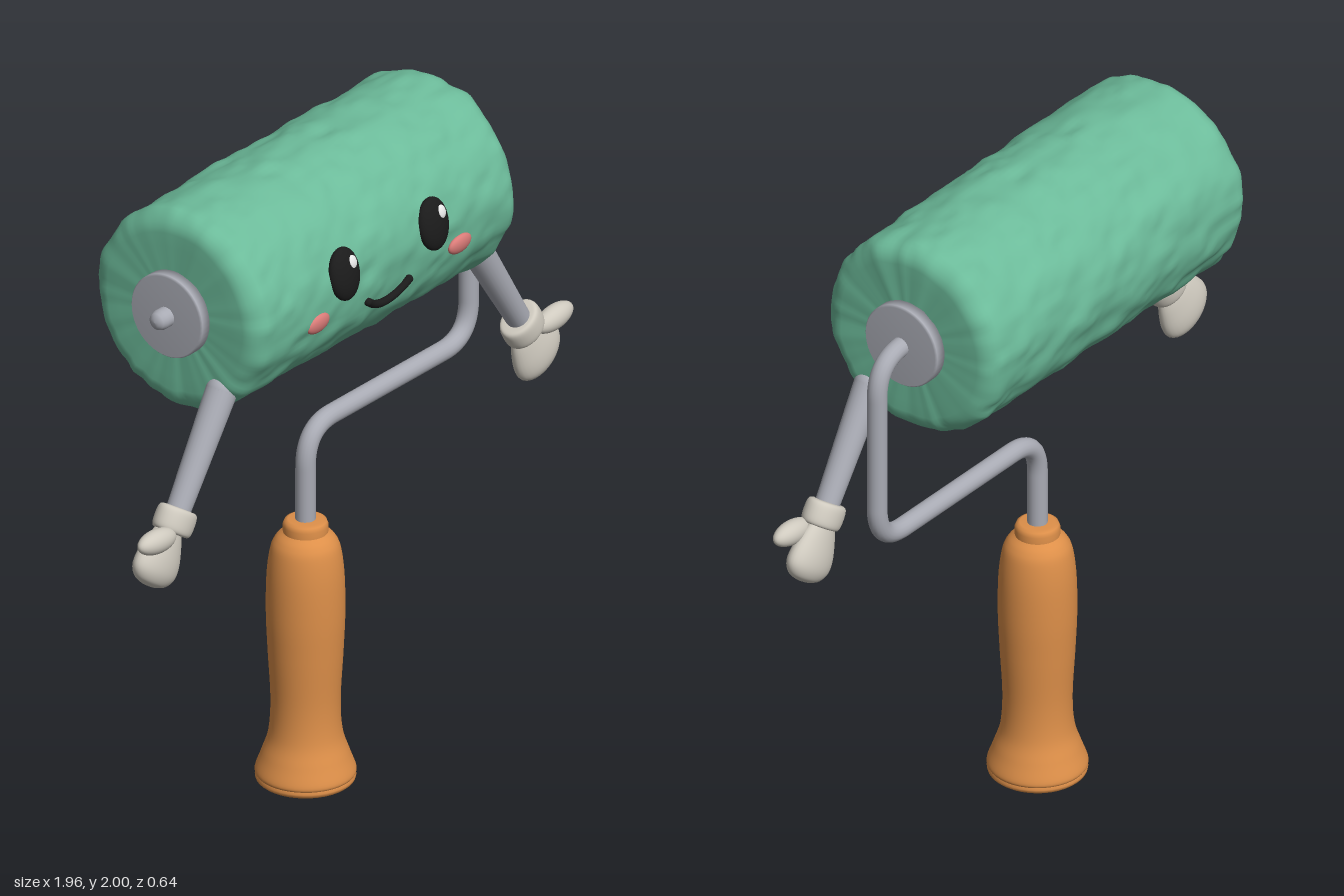
import * as THREE from 'three';
import { mergeVertices } from 'three/addons/utils/BufferGeometryUtils.js';

const AXIS_Y = 1.693, AXIS_Z = -0.015, RADIUS = 0.302;

function mat(name, color) {
  const m = new THREE.MeshStandardMaterial({ color });
  m.name = name;
  return m;
}

const lathe = (pts, seg = 40) =>
  new THREE.LatheGeometry(pts.map(([r, y]) => new THREE.Vector2(r, y)), seg);

// Smooth curve through a few profile points, turned around y
const smoothLathe = (pts, n = 40, seg = 40) =>
  new THREE.LatheGeometry(new THREE.SplineCurve(pts.map(([r, y]) => new THREE.Vector2(r, y)))
    .getPoints(n).map(p => p.setX(Math.max(p.x, 0))), seg);

// Seeded value noise, periodic in u
function hash(i, j) {
  const s = Math.sin(i * 127.1 + j * 311.7) * 43758.5453;
  return (s - Math.floor(s)) * 2 - 1;
}
function noise(u, v, period) {
  const i = Math.floor(u), j = Math.floor(v);
  const ease = t => t * t * (3 - 2 * t), a = ease(u - i), b = ease(v - j);
  const h = (p, q) => hash(((p % period) + period) % period, q);
  return THREE.MathUtils.lerp(
    THREE.MathUtils.lerp(h(i, j), h(i + 1, j), a),
    THREE.MathUtils.lerp(h(i, j + 1), h(i + 1, j + 1), a), b);
}

// Fluffy sleeve: rounded cylinder with a bumpy surface
function sleeveGeometry() {
  const pts = [], L = 0.597, c = 0.06;
  for (let i = 0; i <= 6; i++) pts.push([(RADIUS - c) * i / 6, -L]);
  for (let i = 1; i <= 6; i++) {
    const a = i / 6 * Math.PI / 2;
    pts.push([RADIUS - c + c * Math.sin(a), -L + c - c * Math.cos(a)]);
  }
  const half = pts.slice();
  for (let i = 1; i < 48; i++) pts.push([RADIUS, (L - c) * (i / 24 - 1)]);
  half.reverse().forEach(([r, y]) => pts.push([r, -y]));
  let geo = lathe(pts, 120);
  geo.deleteAttribute('uv');
  geo.deleteAttribute('normal');
  geo = mergeVertices(geo, 1e-4);
  const p = geo.attributes.position;
  for (let i = 0; i < p.count; i++) {
    const x = p.getX(i), y = p.getY(i), z = p.getZ(i), r = Math.hypot(x, z);
    const t = (Math.atan2(z, x) / (2 * Math.PI) + 0.5);
    const n = 0.006 * noise(t * 30, y * 11 + 40, 30) + 0.004 * noise(t * 54, y * 22 + 90, 54);
    const k = r > 0.01 ? 1 + n * Math.min(1, r / RADIUS) / r : 1;
    const end = Math.abs(y) > L - c ? Math.sign(y) * n * 0.6 * r / RADIUS : 0;
    p.setXYZ(i, x * k, y + end, z * k);
  }
  geo.rotateZ(Math.PI / 2);
  geo.computeVertexNormals();
  return geo;
}

// Bent rod with rounded corners
function rodGeometry(corners, bend, radius) {
  const path = new THREE.CurvePath();
  const v = corners.map(([x, y]) => new THREE.Vector3(x, y, 0));
  let from = v[0];
  for (let i = 1; i < v.length - 1; i++) {
    const a = v[i].clone().add(v[i - 1].clone().sub(v[i]).setLength(bend));
    const b = v[i].clone().add(v[i + 1].clone().sub(v[i]).setLength(bend));
    path.add(new THREE.LineCurve3(from, a));
    path.add(new THREE.QuadraticBezierCurve3(a, v[i], b));
    from = b;
  }
  path.add(new THREE.LineCurve3(from, v[v.length - 1]));
  return new THREE.TubeGeometry(path, 160, radius, 18);
}

export function createModel() {
  const model = new THREE.Group();
  model.name = 'paintRoller';
  const green = mat('sleeveGreen', 0x6cbb9a), metal = mat('metalGrey', 0xa9abb4);
  const wood = mat('handleOrange', 0xdd8f49), cream = mat('gloveCream', 0xcfcabf);
  const black = mat('faceBlack', 0x1b1b1b), pink = mat('cheekPink', 0xdb7c79);
  const white = mat('highlightWhite', 0xf2f2f2);

  const add = (name, geo, material, x = 0, y = 0, z = 0, parent = model) => {
    const m = new THREE.Mesh(geo, material);
    m.name = name;
    m.position.set(x, y, z);
    parent.add(m);
    return m;
  };

  add('sleeve', sleeveGeometry(), green, 0, AXIS_Y, AXIS_Z);

  // Handle
  const grip = smoothLathe([[0.14, 0.02], [0.143, 0.035], [0.125, 0.085], [0.105, 0.15], [0.099, 0.25],
    [0.107, 0.4], [0.112, 0.52], [0.11, 0.64], [0.1, 0.72], [0.085, 0.755], [0.064, 0.775]], 60);
  add('handleGrip', grip, wood, 0, 0, AXIS_Z);
  add('handleBase', lathe([[0, 0], [0.134, 0], [0.141, 0.006], [0.143, 0.014], [0.14, 0.022]]), wood, 0, 0, AXIS_Z);
  add('handleCollar', lathe([[0.064, 0.765], [0.065, 0.795], [0.06, 0.808], [0.05, 0.813], [0, 0.813]]), wood, 0, 0, AXIS_Z);

  // Wire frame and axle
  add('wireFrame', rodGeometry([[0.58, AXIS_Y], [0.742, AXIS_Y], [0.742, 1.095], [0, 1.095], [0, 0.78]], 0.12, 0.029),
    metal, 0, 0, AXIS_Z);
  const disc = lathe([[0, 0], [0.127, 0], [0.127, 0.044], [0.122, 0.05], [0, 0.05]], 48);
  for (const s of [1, -1])
    add('endCap', disc, metal, s * 0.585, AXIS_Y, AXIS_Z).rotation.z = -s * Math.PI / 2;
  add('axleEnd', lathe([[0.03, 0], [0.03, 0.058], [0.025, 0.072], [0.014, 0.08], [0, 0.082]], 24),
    metal, -0.605, AXIS_Y, AXIS_Z).rotation.z = Math.PI / 2;

  // Face: flattened ellipsoids lying on the sleeve
  const surfaceZ = y => AXIS_Z + Math.sqrt(RADIUS ** 2 - (y - AXIS_Y) ** 2);
  const ball = new THREE.SphereGeometry(1, 32, 20);
  const onSleeve = (name, material, x, y, rx, ry, rz, lift = 0) => {
    const m = add(name, ball, material, x, y, surfaceZ(y) + lift);
    m.scale.set(rx, ry, rz);
    m.rotation.x = -Math.asin((y - AXIS_Y) / RADIUS);
  };
  for (const s of [1, -1]) {
    onSleeve('eye', black, s * 0.202, 1.75, 0.06, 0.079, 0.03);
    onSleeve('eyeHighlight', white, s * 0.202 + 0.017, 1.786, 0.017, 0.02, 0.008, 0.026);
    onSleeve('cheek', pink, s * 0.322, 1.641, 0.049, 0.03, 0.016);
  }
  const smile = [];
  for (let i = -4; i <= 4; i++) {
    const y = 1.583 + 0.036 * (i / 4) ** 2;
    smile.push(new THREE.Vector3(i / 4 * 0.093, y, surfaceZ(y) + 0.004));
  }
  add('mouth', new THREE.TubeGeometry(new THREE.CatmullRomCurve3(smile), 40, 0.012, 12), black);
  for (const p of [smile[0], smile[8]])
    add('mouthEnd', ball, black, p.x, p.y, p.z).scale.setScalar(0.012);

  // Arms with mittens; each arm group points its y axis from shoulder to hand
  const palm = smoothLathe([[0.05, 0], [0.072, 0.04], [0.092, 0.095], [0.092, 0.135],
    [0.068, 0.163], [0.03, 0.175], [0, 0.177]], 30, 32);
  const cuff = smoothLathe([[0.045, -0.037], [0.062, -0.034], [0.069, -0.018], [0.069, 0.018],
    [0.062, 0.034], [0.045, 0.037]], 24, 32);
  const wristLid = new THREE.CircleGeometry(0.047, 32).rotateX(Math.PI / 2);
  const sleeveArm = new THREE.CylinderGeometry(0.035, 0.046, 0.39, 24);
  for (const s of [1, -1]) {
    const arm = new THREE.Group();
    arm.name = s > 0 ? 'leftArm' : 'rightArm';
    arm.position.set(s * 0.575, 1.487, 0.138);
    arm.rotation.z = Math.atan2(-s * 0.55, -0.835);
    model.add(arm);
    add('armRod', sleeveArm, metal, 0, 0.195, 0, arm);
    add('shoulder', ball, metal, 0, 0, 0, arm).scale.setScalar(0.046);
    add('cuff', cuff, cream, 0, 0.39, 0, arm).scale.z = 0.78;
    add('cuffLid', wristLid, cream, 0, 0.354, 0, arm).scale.z = 0.78;
    add('mitten', palm, cream, 0, 0.412, -0.008, arm).scale.z = 0.49;

    // Thumb points outward in front of the palm
    const thumb = add('thumb', ball, cream, s * 0.902, 1.147, 0.163);
    thumb.scale.set(0.079, 0.036, 0.033);
    thumb.rotation.z = s * 0.1;
  }
  return model;
}
